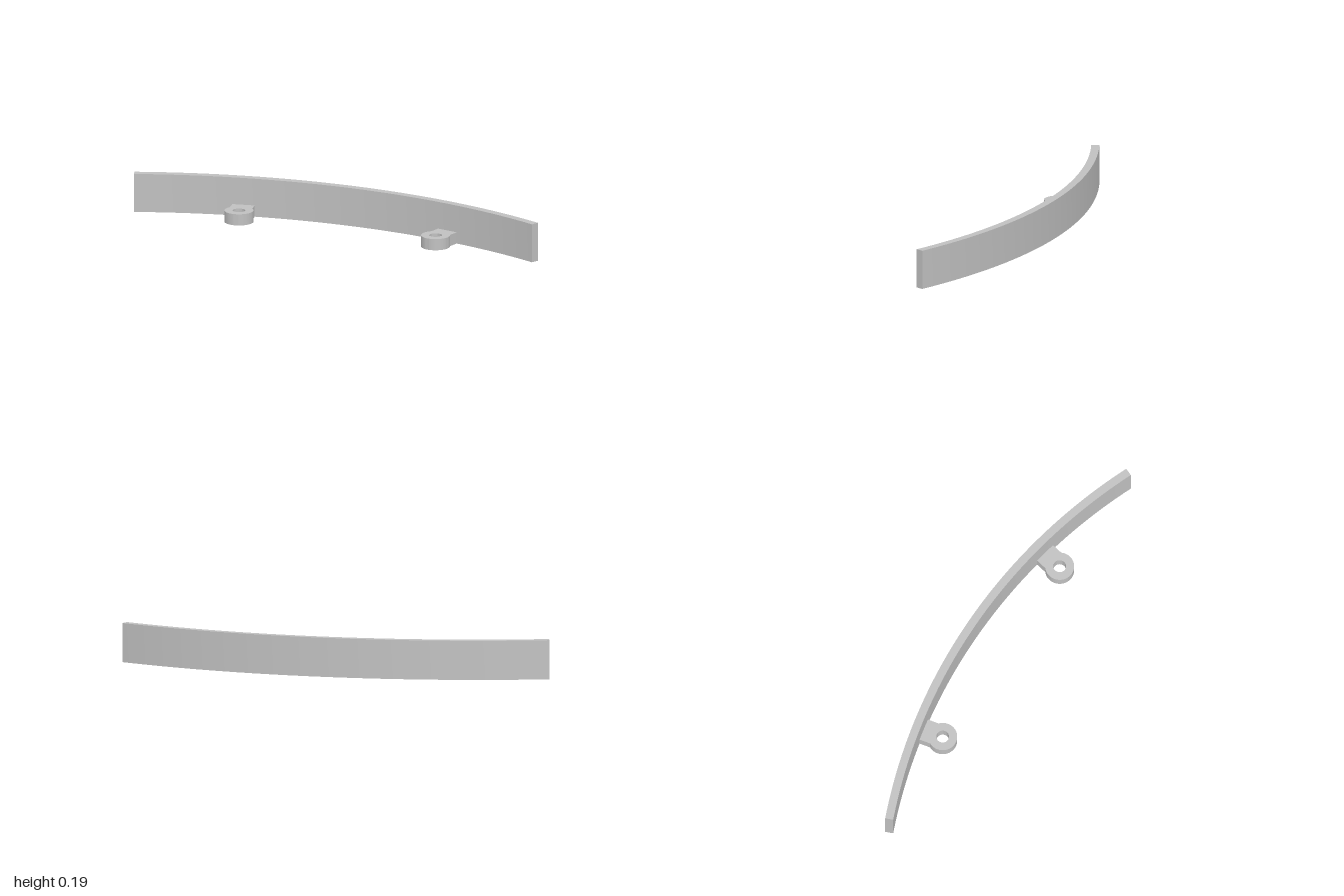
import * as THREE from 'three';
import { toCreasedNormals } from 'three/addons/utils/BufferGeometryUtils.js';

// Plan-view arc centre and radii (shape y is -z)
const CX = -1, CY = -2.4, R_OUT = 2.828, R_IN = 2.788;

// Extrude a plan outline upward from y = 0
function extrudeUp(shape, height, curveSegments) {
  const g = new THREE.ExtrudeGeometry(shape, { depth: height, bevelEnabled: false, curveSegments });
  g.rotateX(-Math.PI / 2);
  return toCreasedNormals(g, 0.5);
}

export function createModel() {
  const group = new THREE.Group();
  group.name = 'curvedBracket';
  const grey = new THREE.MeshStandardMaterial({ name: 'grey', color: 0xc0c0c0 });
  const add = (name, geometry) => {
    const mesh = new THREE.Mesh(geometry, grey);
    mesh.name = name;
    group.add(mesh);
    return mesh;
  };

  // Curved wall: a 45 degree slice of a ring
  const wall = new THREE.Shape();
  wall.absarc(CX, CY, R_OUT, Math.PI / 2, Math.PI / 4, true);
  wall.absarc(CX, CY, R_IN, Math.PI / 4, Math.PI / 2, false);
  wall.closePath();
  add('curvedWall', extrudeUp(wall, 0.193, 32));

  // Mounting lug: round eye with a stem reaching into the wall
  const r = 0.071, half = 0.056, a = Math.acos(half / r);
  const lug = new THREE.Shape();
  lug.moveTo(half, 0.115);
  lug.lineTo(-half, 0.115);
  lug.absarc(0, 0, r, Math.PI - a, Math.PI * 2 + a, false);
  lug.closePath();
  const hole = new THREE.Path();
  hole.absarc(0, 0, 0.031, 0, Math.PI * 2, true);
  lug.holes.push(hole);
  const lugGeometry = extrudeUp(lug, 0.057, 32);

  // Two lugs on the inner side, each pointing at the arc centre
  [['rightLug', 11.1], ['leftLug', 33.7]].forEach(([name, degrees]) => {
    const t = THREE.MathUtils.degToRad(degrees);
    const mesh = add(name, lugGeometry);
    mesh.position.set(CX + 2.688 * Math.sin(t), 0, -CY - 2.688 * Math.cos(t));
    mesh.rotation.y = -t;
  });

  return group;
}
